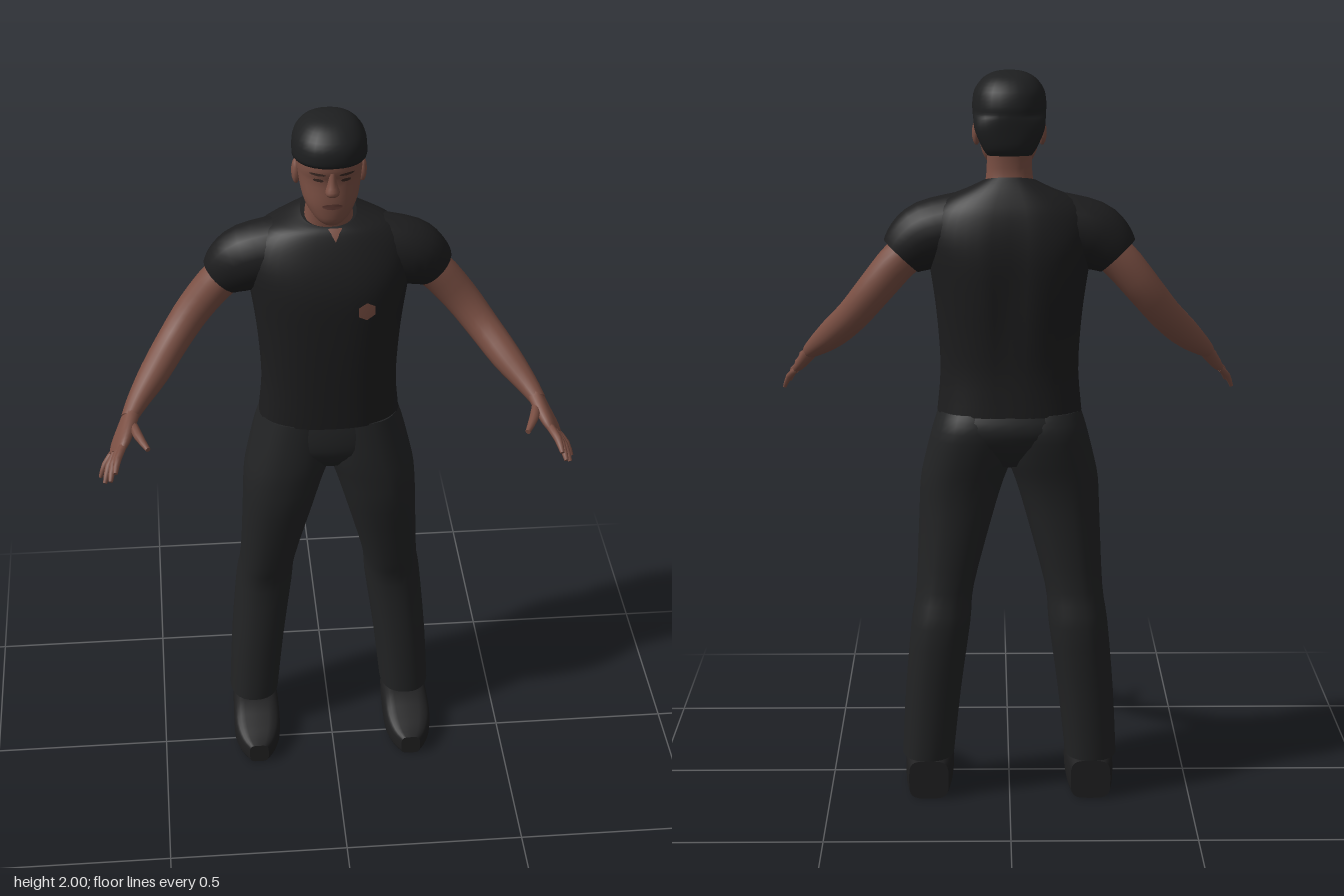
import * as THREE from 'three';

const mat = (name, color) => {
  const m = new THREE.MeshStandardMaterial({ color });
  m.name = name;
  return m;
};

// Catmull-Rom refinement of a list of number rows
function refine(rows, k) {
  const out = [];
  const at = (i) => rows[Math.min(Math.max(i, 0), rows.length - 1)];
  for (let i = 0; i < rows.length - 1; i++) {
    for (let s = 0; s < k; s++) {
      const t = s / k;
      out.push(at(i).map((p1, c) => {
        const p0 = at(i - 1)[c], p2 = at(i + 1)[c], p3 = at(i + 2)[c];
        return p1 + 0.5 * t * (p2 - p0 + t * (2 * p0 - 5 * p1 + 4 * p2 - p3 + t * (3 * (p1 - p2) + p3 - p0)));
      }));
    }
  }
  out.push(rows[rows.length - 1]);
  return out;
}

// superellipse unit offsets
const unit = (a, p) => [Math.cos(a), Math.sin(a)].map((v) => Math.sign(v) * Math.abs(v) ** (2 / p));

// joins equal rings of points into a closed skin with flat end caps
function skin(rings) {
  const n = rings[0].length, pos = [], idx = [];
  rings.forEach((r) => r.forEach((p) => pos.push(p.x, p.y, p.z)));
  for (let i = 0; i < rings.length - 1; i++) {
    for (let j = 0; j < n; j++) {
      const a = i * n + j, b = i * n + (j + 1) % n;
      idx.push(a, b, b + n, a, b + n, a + n);
    }
  }
  [rings[0], rings[rings.length - 1]].forEach((r, end) => {
    const base = pos.length / 3;
    const c = r.reduce((s, p) => s.add(p), new THREE.Vector3()).divideScalar(n);
    [...r, c].forEach((p) => pos.push(p.x, p.y, p.z));
    for (let j = 0; j < n; j++) {
      const k = base + (j + 1) % n;
      idx.push(base + n, end ? base + j : k, end ? k : base + j);
    }
  });
  const g = new THREE.BufferGeometry();
  g.setAttribute('position', new THREE.Float32BufferAttribute(pos, 3));
  g.setIndex(idx);
  g.computeVertexNormals();
  return g;
}

// horizontal sections: [y, xMin, xMax, zBack, zFront, tilt]
function stack(rows, { n = 28, p = 2.3, k = 3 } = {}) {
  return skin(refine(rows.map((r) => [...r, 0].slice(0, 6)), k).map(([y, x0, x1, z0, z1, tilt]) =>
    Array.from({ length: n }, (_, j) => {
      const [c, s] = unit(j / n * Math.PI * 2, p);
      return new THREE.Vector3((x0 + x1) / 2 + c * (x1 - x0) / 2, y - s * tilt, (z0 + z1) / 2 - s * (z1 - z0) / 2);
    })));
}

// tube along a path: [x, y, z, widthRadius, thicknessRadius]; side = 1 or -1 mirrors it
function limb(rows, side, { n = 14, p = 2, k = 3, ref = [0.35, -0.45, -0.8], dir = null } = {}) {
  const pts = refine(rows, k);
  const P = pts.map((r) => new THREE.Vector3(r[0] * side, r[1], r[2]));
  return skin(pts.map((r, i) => {
    const t = dir ? dir.clone() : P[Math.min(i + 1, P.length - 1)].clone().sub(P[Math.max(i - 1, 0)]).normalize();
    const u = new THREE.Vector3(ref[0] * side, ref[1], ref[2]);
    u.addScaledVector(t, -u.dot(t)).normalize();
    const v = t.clone().cross(u);
    return Array.from({ length: n }, (_, j) => {
      const [c, s] = unit(j / n * Math.PI * 2, p);
      return P[i].clone().addScaledVector(u, c * r[3]).addScaledVector(v, s * r[4]);
    });
  }));
}

// moves every vertex by a rule
function deform(g, rule) {
  const a = g.attributes.position, v = new THREE.Vector3();
  for (let i = 0; i < a.count; i++) {
    rule(v.fromBufferAttribute(a, i));
    a.setXYZ(i, v.x, v.y, v.z);
  }
  g.computeVertexNormals();
  return g;
}

// thin patch laid on the front of a mesh
function patch(target, cx, cy, rx, ry, n, lift = 0.003) {
  const ray = new THREE.Raycaster(), pos = [], idx = [];
  for (let i = 0; i <= n; i++) {
    const a = i / n * Math.PI * 2 - Math.PI / 2, f = i < n ? 1 : 0;
    const x = cx + Math.cos(a) * rx * f, y = cy + Math.sin(a) * ry * f;
    ray.set(new THREE.Vector3(x, y, 2), new THREE.Vector3(0, 0, -1));
    const hit = ray.intersectObject(target)[0];
    pos.push(x, y, (hit ? hit.point.z : 0) + lift);
    if (f) idx.push(n, i, (i + 1) % n);
  }
  const g = new THREE.BufferGeometry();
  g.setAttribute('position', new THREE.Float32BufferAttribute(pos, 3));
  g.setIndex(idx);
  g.computeVertexNormals();
  return g;
}

export function createModel() {
  const model = new THREE.Group();
  model.name = 'standingMan';
  const skinTone = mat('skin', 0x7a4f43), lipTone = mat('lips', 0x5f3a33), eyeTone = mat('eyes', 0x3a2823);
  const shirtTone = mat('shirt', 0x1d1d1e), pantsTone = mat('trousers', 0x222324);
  const hairTone = mat('hair', 0x1e1f20), shoeTone = mat('shoes', 0x1f1f20);
  const add = (name, geometry, material) => {
    const m = new THREE.Mesh(geometry, material);
    m.name = name;
    model.add(m);
    return m;
  };

  // shirt body with a shallow spine groove
  const shirt = add('shirt', deform(stack([
    [1.095, -0.195, 0.195, -0.25, 0.005], [1.2, -0.186, 0.186, -0.245, 0.012],
    [1.3, -0.19, 0.19, -0.252, 0.018], [1.4, -0.2, 0.2, -0.262, 0.022],
    [1.5, -0.215, 0.215, -0.268, 0.022], [1.57, -0.225, 0.225, -0.262, 0.008],
    [1.63, -0.21, 0.21, -0.247, -0.015], [1.67, -0.17, 0.17, -0.23, -0.035],
    [1.695, -0.115, 0.115, -0.21, -0.047, -0.01], [1.71, -0.075, 0.075, -0.19, -0.055, -0.02],
  ], { n: 40, p: 2.4 }), (v) => {
    if (v.z < -0.15) v.z += 0.014 * Math.exp(-((v.x / 0.03) ** 2)) * Math.exp(-(((v.y - 1.42) / 0.17) ** 2));
  }), shirtTone);
  add('chestBadge', patch(shirt, 0.092, 1.47, 0.026, 0.026, 6), skinTone);
  add('collarNotch', patch(shirt, 0.012, 1.678, 0.022, 0.02, 3), skinTone);

  // trousers
  add('hips', stack([
    [0.95, -0.06, 0.06, -0.2, -0.03], [1.0, -0.19, 0.19, -0.24, 0.0],
    [1.06, -0.2, 0.2, -0.262, 0.002], [1.12, -0.185, 0.185, -0.238, -0.008],
  ]), pantsTone);
  const leg = [
    [0.115, 0.155, 0.298, -0.225, -0.033], [0.3, 0.135, 0.288, -0.235, -0.04],
    [0.5, 0.108, 0.27, -0.245, -0.05], [0.6, 0.098, 0.256, -0.228, -0.03],
    [0.8, 0.045, 0.247, -0.225, 0.005], [0.9, 0.015, 0.242, -0.232, 0.01],
    [0.97, -0.01, 0.228, -0.245, 0.008], [1.05, -0.02, 0.208, -0.255, 0], [1.1, -0.02, 0.192, -0.238, -0.006],
  ];

  // fingers: base, tip, radius
  const fingers = {
    IndexFinger: [[0.571, 1.184, 0.178], [0.592, 1.155, 0.262], 0.011],
    MiddleFinger: [[0.581, 1.171, 0.168], [0.606, 1.125, 0.254], 0.011],
    RingFinger: [[0.59, 1.158, 0.157], [0.622, 1.102, 0.225], 0.0105],
    LittleFinger: [[0.598, 1.147, 0.145], [0.635, 1.09, 0.178], 0.009],
    Thumb: [[0.545, 1.208, 0.105], [0.504, 1.198, 0.219], 0.013],
  };

  for (const [name, s] of [['left', 1], ['right', -1]]) {
    add(name + 'TrouserLeg', stack(leg.map(([y, a, b, ...z]) => [y, ...(s > 0 ? [a, b] : [-b, -a]), ...z])), pantsTone);

    // shoe with a flat sole
    add(name + 'Shoe', deform(limb([
      [0.225, 0.055, -0.212, 0.055, 0.055], [0.225, 0.06, -0.15, 0.064, 0.06],
      [0.225, 0.057, -0.04, 0.068, 0.057], [0.226, 0.045, 0.03, 0.066, 0.045],
      [0.226, 0.035, 0.08, 0.05, 0.035], [0.226, 0.03, 0.112, 0.028, 0.03],
    ], s, { n: 24, p: 4, ref: [s, 0, 0], dir: new THREE.Vector3(0, 0, 1) }), (v) => { v.y = Math.max(0, v.y); }), shoeTone);

    add(name + 'Sleeve', limb([
      [0.13, 1.59, -0.13, 0.09, 0.095], [0.215, 1.57, -0.13, 0.085, 0.093],
      [0.262, 1.54, -0.135, 0.072, 0.08], [0.288, 1.515, -0.138, 0.06, 0.063],
    ], s, { n: 20, ref: [0, 0, -1] }), shirtTone);

    add(name + 'Arm', limb([
      [0.2, 1.575, -0.13, 0.053, 0.053], [0.285, 1.512, -0.135, 0.053, 0.053],
      [0.36, 1.425, -0.13, 0.049, 0.049], [0.42, 1.35, -0.095, 0.045, 0.045],
      [0.478, 1.287, -0.025, 0.043, 0.041], [0.525, 1.242, 0.04, 0.033, 0.03], [0.552, 1.215, 0.088, 0.026, 0.021],
    ], s, { n: 18 }), skinTone);
    add(name + 'Palm', limb([
      [0.545, 1.222, 0.075, 0.026, 0.02], [0.562, 1.197, 0.115, 0.036, 0.019],
      [0.578, 1.175, 0.15, 0.041, 0.016], [0.588, 1.162, 0.172, 0.036, 0.01],
    ], s, { p: 2.6 }), skinTone);
    for (const [part, [a, b, r]] of Object.entries(fingers)) {
      const mid = a.map((v, i) => (v + b[i]) / 2 + [0.004, 0.005, 0.004][i]);
      add(name + part, limb([[...a, r, r], [...mid, r, r], [...b, r * 0.55, r * 0.55]], s, { n: 8, k: 2 }), skinTone);
    }

    const ear = new THREE.SphereGeometry(1, 12, 8);
    ear.scale(0.012, 0.034, 0.02).rotateX(-0.15).translate(0.087 * s, 1.838, -0.095);
    add(name + 'Ear', ear, skinTone);
  }

  // neck and head
  add('neck', stack([
    [1.65, -0.075, 0.075, -0.185, -0.06], [1.71, -0.064, 0.064, -0.17, -0.052],
    [1.75, -0.06, 0.06, -0.165, -0.045], [1.81, -0.06, 0.06, -0.17, -0.05],
  ]), skinTone);
  const head = add('head', stack([
    [1.722, -0.024, 0.024, -0.055, -0.002], [1.738, -0.044, 0.044, -0.085, 0.01],
    [1.77, -0.066, 0.066, -0.13, 0.014], [1.8, -0.076, 0.076, -0.155, 0.014],
    [1.85, -0.084, 0.084, -0.18, 0.01], [1.885, -0.086, 0.086, -0.19, 0.018],
    [1.94, -0.08, 0.08, -0.18, 0.005], [1.98, -0.045, 0.045, -0.13, -0.04],
  ], { p: 2.2 }), skinTone);
  add('nose', stack([
    [1.813, -0.012, 0.012, -0.01, 0.022], [1.825, -0.019, 0.019, -0.01, 0.036],
    [1.85, -0.012, 0.012, -0.01, 0.027], [1.88, -0.009, 0.009, -0.01, 0.018],
  ], { n: 12 }), skinTone);
  add('mouth', patch(head, 0, 1.784, 0.027, 0.008, 10), lipTone);
  for (const [name, s] of [['left', 1], ['right', -1]]) {
    add(name + 'Eye', patch(head, 0.036 * s, 1.857, 0.014, 0.005, 8), eyeTone);
    add(name + 'Eyebrow', patch(head, 0.038 * s, 1.875, 0.022, 0.004, 8), eyeTone);
  }

  // short hair, cut high in front and low at the nape
  add('hair', stack([
    [1.785, -0.058, 0.058, -0.188, -0.13], [1.805, -0.072, 0.072, -0.2, -0.12],
    [1.85, -0.091, 0.091, -0.205, -0.115], [1.878, -0.095, 0.095, -0.207, -0.065],
    [1.893, -0.097, 0.097, -0.207, 0.018], [1.915, -0.098, 0.098, -0.207, 0.031],
    [1.95, -0.092, 0.092, -0.196, 0.024], [1.98, -0.07, 0.07, -0.167, -0.005],
    [1.995, -0.042, 0.042, -0.13, -0.035], [2.0, -0.012, 0.012, -0.09, -0.065],
  ]), hairTone);

  return model;
}
